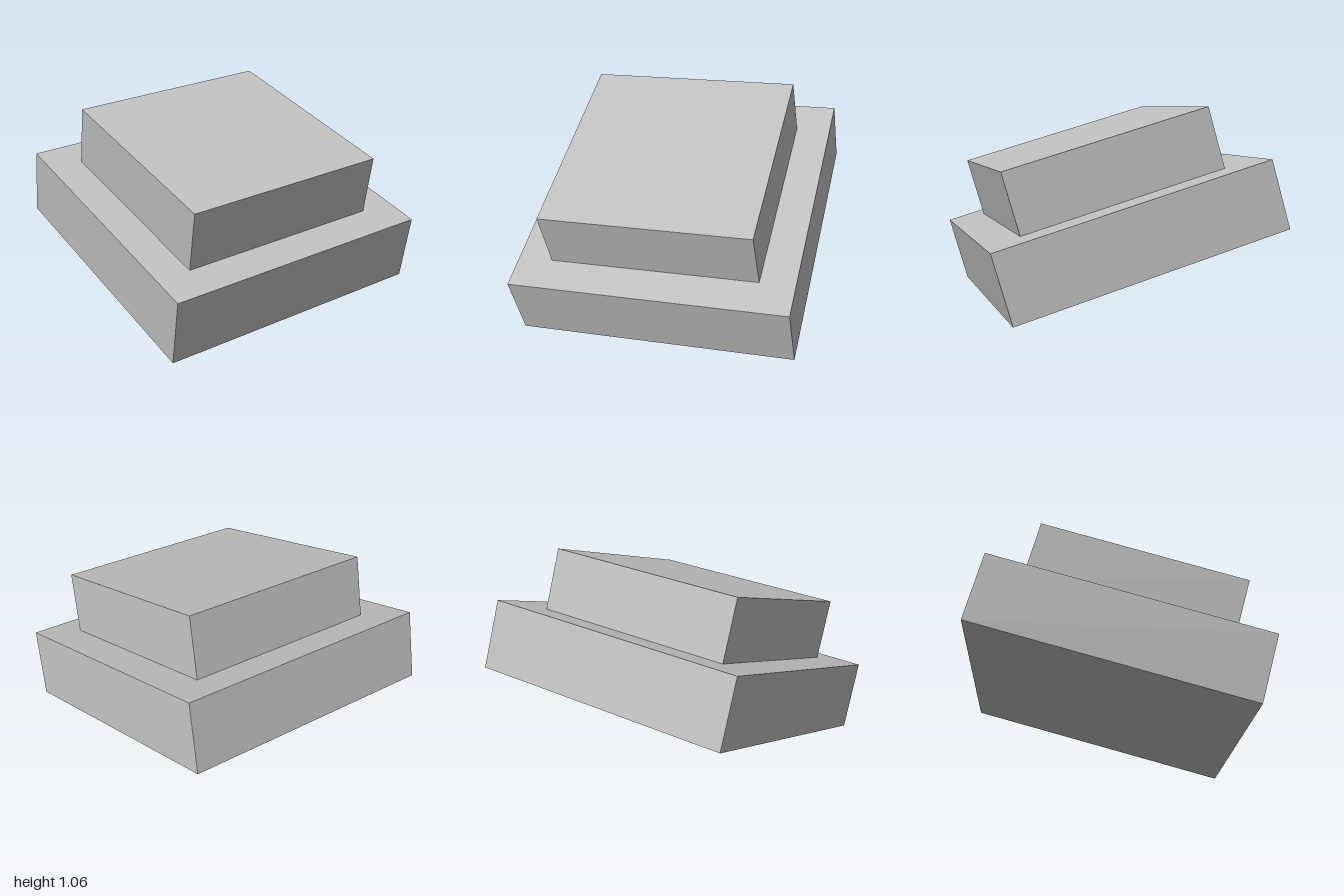
import * as THREE from 'three';

export function createModel() {
  const model = new THREE.Group();
  model.name = 'steppedBlock';
  const grey = new THREE.MeshStandardMaterial({ color: 0xc0c0c0 });
  grey.name = 'light grey';

  // Both slabs share one tilted frame whose origin is the seam between them
  const across = new THREE.Vector3(1.16, 0.11, -0.8).normalize();
  const forward = new THREE.Vector3(0.8, -0.37, 1.115);
  const up = forward.clone().cross(across).normalize();
  forward.crossVectors(across, up);
  const tilted = new THREE.Group();
  tilted.name = 'tiltedSlabs';
  tilted.quaternion.setFromRotationMatrix(new THREE.Matrix4().makeBasis(across, up, forward));
  tilted.position.set(0.015, 0.581, 0.045);
  model.add(tilted);

  const addSlab = (name, width, height, y) => {
    const slab = new THREE.Mesh(new THREE.BoxGeometry(width, height, width), grey);
    slab.name = name;
    slab.position.y = y;
    tilted.add(slab);
  };

  // Wide base with a narrower slab standing on it
  addSlab('lowerSlab', 1.415, 0.352, -0.176);
  addSlab('upperSlab', 1.062, 0.314, 0.157);
  return model;
}
